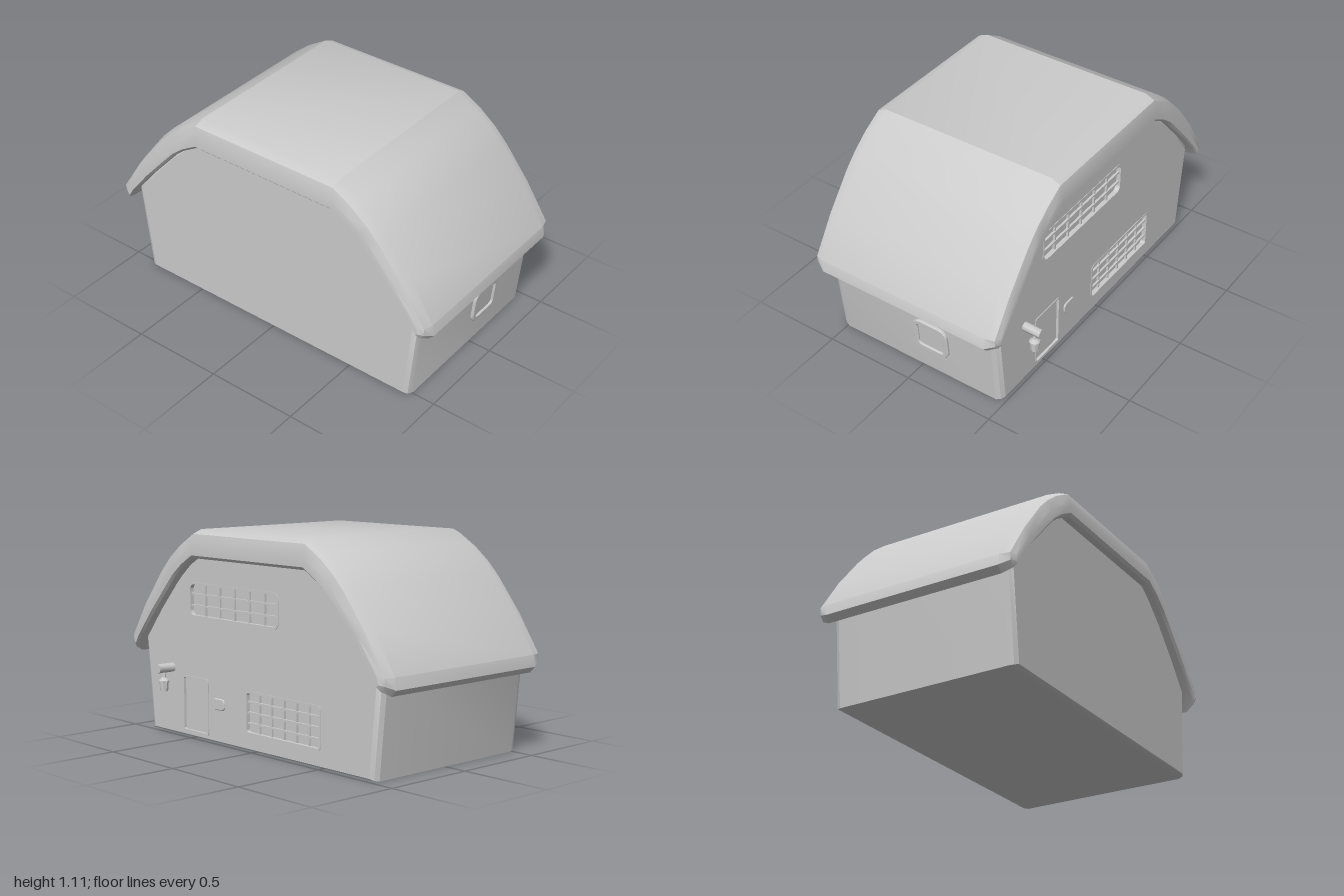
import * as THREE from 'three';
import { toCreasedNormals } from 'three/addons/utils/BufferGeometryUtils.js';

const material = new THREE.MeshStandardMaterial({ color: 0xcccccc });
const BACK = -0.485;

function add(parent, name, geometry, x = 0, y = 0, z = 0) {
  const mesh = new THREE.Mesh(geometry, material);
  mesh.name = name;
  mesh.position.set(x, y, z);
  parent.add(mesh);
  return mesh;
}

// Skin counter-clockwise loops, ordered from back to front, with optional caps.
function loft(stations, capBack = true) {
  const n = stations[0].pts.length;
  const pos = [], idx = [];
  for (const { z, pts } of stations) for (const [x, y] of pts) pos.push(x, y, z);
  for (let s = 0; s < stations.length - 1; s++) {
    for (let i = 0; i < n; i++) {
      const a = s * n + i, b = s * n + (i + 1) % n;
      idx.push(a, b, b + n, a, b + n, a + n);
    }
  }
  const cap = (s, flip) => {
    const contour = stations[s].pts.map(([x, y]) => new THREE.Vector2(x, y));
    for (const [a, b, c] of THREE.ShapeUtils.triangulateShape(contour, [])) {
      const o = s * n;
      idx.push(o + a, o + (flip ? c : b), o + (flip ? b : c));
    }
  };
  if (capBack) cap(0, true);
  cap(stations.length - 1, false);
  const g = new THREE.BufferGeometry();
  g.setAttribute('position', new THREE.Float32BufferAttribute(pos, 3));
  g.setIndex(idx);
  return toCreasedNormals(g, 0.45);
}

const mirrorX = (pts) => pts.map(([x, y]) => [-x, y]).reverse();

// Rectangle with rounded corners, as a Shape or as a hole Path.
function roundedRect(Type, cx, cy, w, h, r) {
  const p = new Type(), x = w / 2 - r, y = h / 2 - r;
  [[x, y], [-x, y], [-x, -y], [x, -y]].forEach(([px, py], i) =>
    p.absarc(cx + px, cy + py, r, i * Math.PI / 2, (i + 1) * Math.PI / 2));
  p.closePath();
  return p;
}

function extrude(shape, depth, bevel = 0) {
  return new THREE.ExtrudeGeometry(shape, {
    depth, curveSegments: 4, bevelEnabled: bevel > 0,
    bevelSize: bevel, bevelThickness: bevel, bevelSegments: 1,
  });
}

function frame(w, h, r, t, depth, bevel) {
  const shape = roundedRect(THREE.Shape, 0, 0, w, h, r);
  shape.holes.push(roundedRect(THREE.Path, 0, 0, w - 2 * t, h - 2 * t, Math.max(r - t, 0.005)));
  return extrude(shape, depth, bevel);
}

// Wall outline, pulled in towards the centre by d.
function wallLoop(d) {
  const half = [[0.87, 0], [0.92, 0.5], [0.79, 0.665], [0.66, 0.81], [0.55, 0.91], [0.44, 0.99]]
    .map(([x, y]) => [x - d, y === 0 ? d * 0.35 : y]);
  return [...half, ...mirrorX(half)];
}

// Roof section; k thins it from the outside, lift rounds the eave ends.
function roofLoop(k, lift, inner = 0) {
  const out = [[0.995, 0.45], [0.985, 0.51], [0.855, 0.715], [0.71, 0.9], [0.635, 0.975], [0.545, 1.045], [0.43, 1.113]];
  const ins = [[0.965, 0.418], [0.9, 0.51], [0.78, 0.65], [0.65, 0.79], [0.585, 0.86], [0.515, 0.915], [0.43, 0.965]];
  const mix = (a, b, t) => a.map((p, i) => {
    const e = i === 0 ? lift : 0;
    return [p[0] + (b[i][0] - p[0]) * t - 0.035 * e, p[1] + (b[i][1] - p[1]) * t + 0.045 * e];
  });
  const o = mix(out, ins, k), n = mix(ins, out, inner);
  return [...o, ...mirrorX(o), ...mirrorX(n).reverse(), ...n.reverse()];
}

const windows = [
  { name: 'upperWindow', x: 0.16, y: 0.74, w: 0.71, h: 0.18, rows: 2, r: 0.04 },
  { name: 'lowerWindow', x: -0.22, y: 0.2, w: 0.56, h: 0.22, rows: 3, r: 0.025 },
];
const door = { x: 0.47, y: 0.18, w: 0.21, h: 0.295, r: 0.015 };

function barredWindow({ name, x, y, w, h, rows, r }) {
  const g = new THREE.Group();
  g.name = name;
  g.position.set(x, y, BACK);
  add(g, 'windowPane', new THREE.BoxGeometry(w, h, 0.01), 0, 0, 0.032);
  add(g, 'windowFrame', frame(w + 0.006, h + 0.006, r, 0.012, 0.022), 0, 0, -0.003);
  const cols = 5;
  for (let i = 1; i <= cols; i++) {
    add(g, 'verticalBar', new THREE.BoxGeometry(0.01, h - 0.01, 0.012), -w / 2 + w * i / (cols + 1), 0, 0.014);
  }
  for (let i = 1; i <= rows; i++) {
    add(g, 'horizontalBar', new THREE.BoxGeometry(w - 0.01, 0.01, 0.012), 0, -h / 2 + h * i / (rows + 1), 0.01);
  }
  return g;
}

function wallLamp() {
  const g = new THREE.Group();
  g.name = 'wallLamp';
  g.position.set(0.67, 0, 0);
  const arm = toCreasedNormals(new THREE.CylinderGeometry(0.025, 0.025, 0.105, 8), 0.9);
  add(g, 'lampArm', arm, 0, 0.36, -0.5335).rotation.x = Math.PI / 2;
  const profile = [[0, 0.236], [0.021, 0.236], [0.025, 0.285], [0.029, 0.287], [0.029, 0.294],
    [0.011, 0.311], [0.008, 0.34]].map(([x, y]) => new THREE.Vector2(x, y));
  add(g, 'lantern', toCreasedNormals(new THREE.LatheGeometry(profile, 8), 0.5), 0, 0, -0.545);
  return g;
}

export function createModel() {
  const model = new THREE.Group();
  model.name = 'house';

  // Walls with softened vertical corners; the back stays open for its own panel.
  add(model, 'walls', loft([
    { z: BACK, pts: wallLoop(0.035) }, { z: -0.473, pts: wallLoop(0.012) }, { z: -0.45, pts: wallLoop(0) },
    { z: 0.495, pts: wallLoop(0) }, { z: 0.523, pts: wallLoop(0.012) }, { z: 0.535, pts: wallLoop(0.035) },
  ], false));

  // Back wall with openings for the door and windows.
  const back = new THREE.Shape(wallLoop(0.035).map(([x, y]) => new THREE.Vector2(x, y)));
  for (const o of [...windows, door]) back.holes.push(roundedRect(THREE.Path, o.x, o.y, o.w, o.h, o.r));
  add(model, 'backWall', extrude(back, 0.03), 0, 0, BACK);
  for (const w of windows) model.add(barredWindow(w));

  // Door panel, its frame and the small plate beside it.
  add(model, 'door', new THREE.BoxGeometry(door.w, door.h, 0.02), door.x, door.y, BACK + 0.02);
  add(model, 'doorFrame', frame(door.w + 0.006, door.h + 0.006, 0.018, 0.01, 0.014), door.x, door.y, BACK - 0.004);
  add(model, 'wallPlate', extrude(roundedRect(THREE.Shape, 0, 0, 0.085, 0.053, 0.018), 0.008, 0.004), 0.275, 0.21, BACK - 0.004);
  model.add(wallLamp());

  // Curved roof with rounded ends.
  add(model, 'roof', loft([
    { z: -0.537, pts: roofLoop(0.55, 1, 0.1) }, { z: -0.522, pts: roofLoop(0.15, 0.6) }, { z: -0.47, pts: roofLoop(0, 0) },
    { z: 0.52, pts: roofLoop(0, 0) }, { z: 0.572, pts: roofLoop(0.15, 0.6) }, { z: 0.587, pts: roofLoop(0.55, 1, 0.1) },
  ]));

  // Side window, leaning with the wall.
  const side = new THREE.Group();
  side.name = 'sideWindow';
  side.position.set(0.894, 0.24, -0.08);
  side.rotation.set(0.1, Math.PI / 2, 0, 'YXZ');
  add(side, 'sideFrame', frame(0.2, 0.19, 0.045, 0.018, 0.01, 0.005));
  add(side, 'sidePane', extrude(roundedRect(THREE.Shape, 0, 0, 0.18, 0.17, 0.035), 0.006), 0, 0, -0.002);
  model.add(side);

  return model;
}
